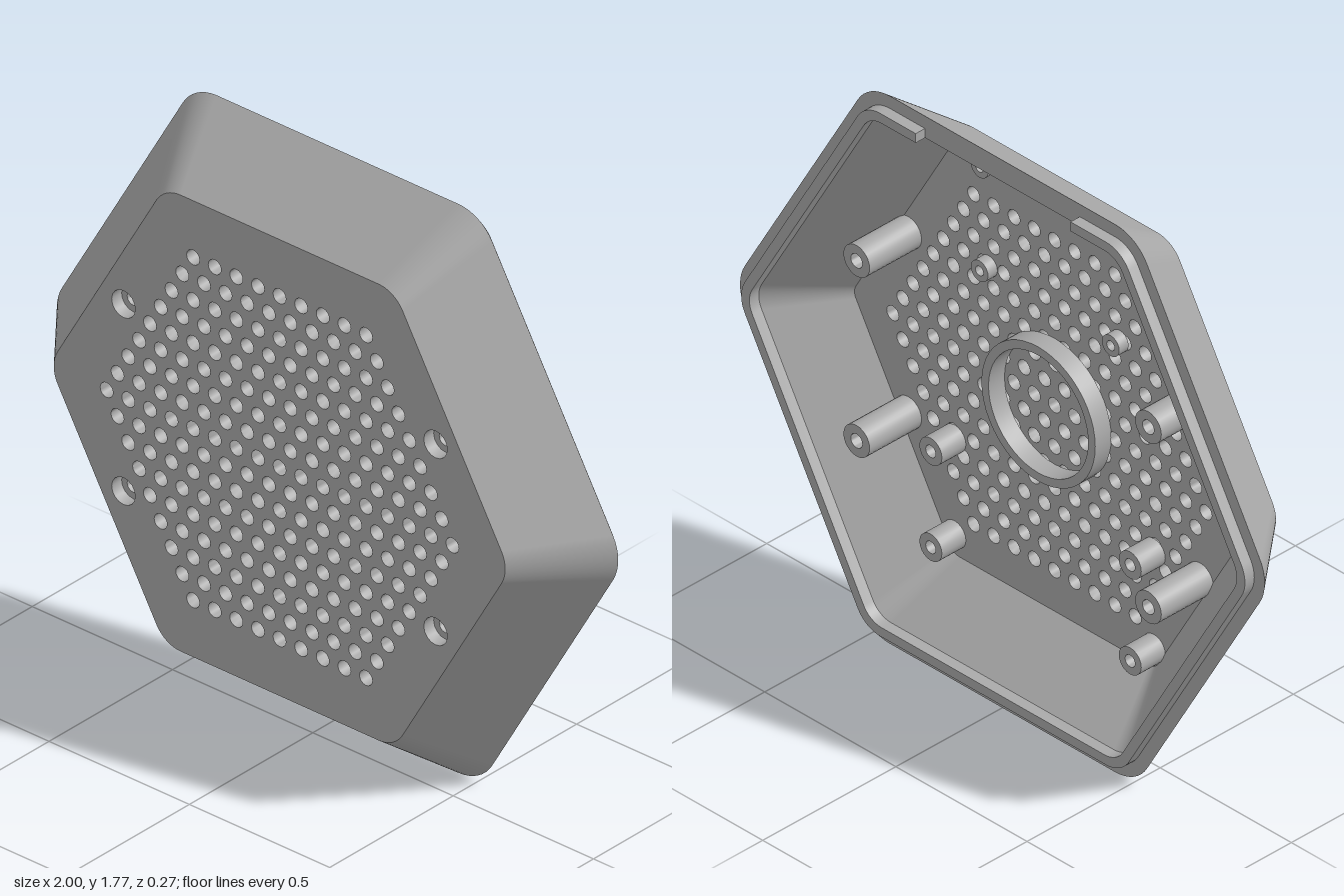
import * as THREE from 'three';
import { toCreasedNormals } from 'three/addons/utils/BufferGeometryUtils.js';

const FRONT = 0.135, FLOOR = 0.095, RIM = -0.1, BACK = -0.135, CY = 0.885;

// Rounded hexagon, counter-clockwise from the top edge
function hexPoints(apothem, r, seg = 8) {
  const pts = [], d = (apothem - r) / Math.cos(Math.PI / 6);
  for (let c = 0; c < 6; c++) {
    const a = (120 + c * 60) * Math.PI / 180;
    for (let i = 0; i <= seg; i++) {
      const t = a + (i / seg - 0.5) * Math.PI / 3;
      pts.push(new THREE.Vector2(d * Math.cos(a) + r * Math.cos(t), d * Math.sin(a) + r * Math.sin(t)));
    }
  }
  return pts;
}

// Strip of faces joining two hexagon loops
function band([apA, rA, zA], [apB, rB, zB]) {
  const A = hexPoints(apA, rA), B = hexPoints(apB, rB), n = A.length, pos = [], idx = [];
  for (let i = 0; i < n; i++) pos.push(A[i].x, A[i].y, zA, B[i].x, B[i].y, zB);
  for (let i = 0; i < n; i++) {
    const a = 2 * i, c = 2 * ((i + 1) % n);
    idx.push(a, a + 1, c + 1, a, c + 1, c);
  }
  const g = new THREE.BufferGeometry();
  g.setAttribute('position', new THREE.Float32BufferAttribute(pos, 3));
  g.setIndex(idx);
  g.computeVertexNormals();
  return g;
}

// Hollow round boss standing on the floor and pointing backwards
function tube(outer, inner, height, seg) {
  const p = [[outer, 0], [outer, height], [inner, height], [inner, 0], [outer, 0]];
  const g = new THREE.LatheGeometry(p.map(([x, y]) => new THREE.Vector2(x, y)), seg);
  return toCreasedNormals(g.rotateX(-Math.PI / 2), 0.6);
}

export function createModel() {
  const model = new THREE.Group();
  model.name = 'speakerCover';
  const grey = new THREE.MeshStandardMaterial({ color: 0xaaaaaa });
  grey.name = 'grey plastic';
  const add = (name, geo, x = 0, y = 0, z = 0) => {
    const m = new THREE.Mesh(geo, grey);
    m.name = name;
    m.position.set(x, y + CY, z);
    model.add(m);
  };

  // Sloping shell: outer wall, back rim, inner wall
  const loops = [[0.71, 0.1, FRONT], [0.885, 0.14, RIM], [0.815, 0.08, RIM], [0.665, 0.04, FLOOR]];
  ['outerWall', 'backRim', 'innerWall'].forEach((name, i) => add(name, band(loops[i], loops[i + 1])));

  // Front plate with a hexagonal grid of holes and four screw holes
  const plate = new THREE.Shape(hexPoints(0.71, 0.1));
  const hole = (x, y, r) => {
    const h = new THREE.Path();
    h.absarc(x, y, r, 0, Math.PI * 2, true);
    plate.holes.push(h);
  };
  const pitch = 0.077, rings = 8;
  for (let row = -rings; row <= rings; row++) {
    const count = 2 * rings + 1 - Math.abs(row);
    for (let i = 0; i < count; i++) {
      hole((i - (count - 1) / 2) * pitch, row * pitch * Math.sqrt(3) / 2, 0.023);
    }
  }
  const screws = [];
  for (const x of [-0.556, 0.556]) for (const y of [-0.291, 0.291]) screws.push([x, y]);
  screws.forEach(([x, y]) => hole(x, y, 0.042));
  const plateGeo = new THREE.ExtrudeGeometry(plate, { depth: FRONT - FLOOR, bevelEnabled: false, curveSegments: 8 });
  add('grillePlate', toCreasedNormals(plateGeo, 0.9), 0, 0, FLOOR);

  // Locating lip on the back rim, open along the middle of the top edge
  const gap = 0.295, lipOut = 0.845, lipIn = 0.815;
  const lip = new THREE.Shape([
    new THREE.Vector2(-gap, lipOut), ...hexPoints(lipOut, 0.1), new THREE.Vector2(gap, lipOut),
    new THREE.Vector2(gap, lipIn), ...hexPoints(lipIn, 0.08).reverse(), new THREE.Vector2(-gap, lipIn),
  ]);
  const lipGeo = new THREE.ExtrudeGeometry(lip, { depth: RIM - BACK, bevelEnabled: false });
  add('backLip', toCreasedNormals(lipGeo, 0.6), 0, 0, BACK);

  // Screw posts, board standoffs and the central ring
  const post = tube(0.05, 0.022, FLOOR - RIM, 24);
  screws.forEach(([x, y]) => add('screwPost', post, x, y, FLOOR));
  const lowStandoff = tube(0.033, 0.015, 0.035, 20);
  const tallStandoff = tube(0.043, 0.019, 0.09, 20);
  for (const s of [-1, 1]) {
    for (const y of [0.33, 0.665]) add('upperStandoff', lowStandoff, s * 0.25, y, FLOOR);
    for (const y of [-0.29, -0.6]) add('lowerStandoff', tallStandoff, s * 0.38, y, FLOOR);
  }
  add('centreRing', tube(0.217, 0.19, 0.06, 48), 0, 0, FLOOR);

  return model;
}
